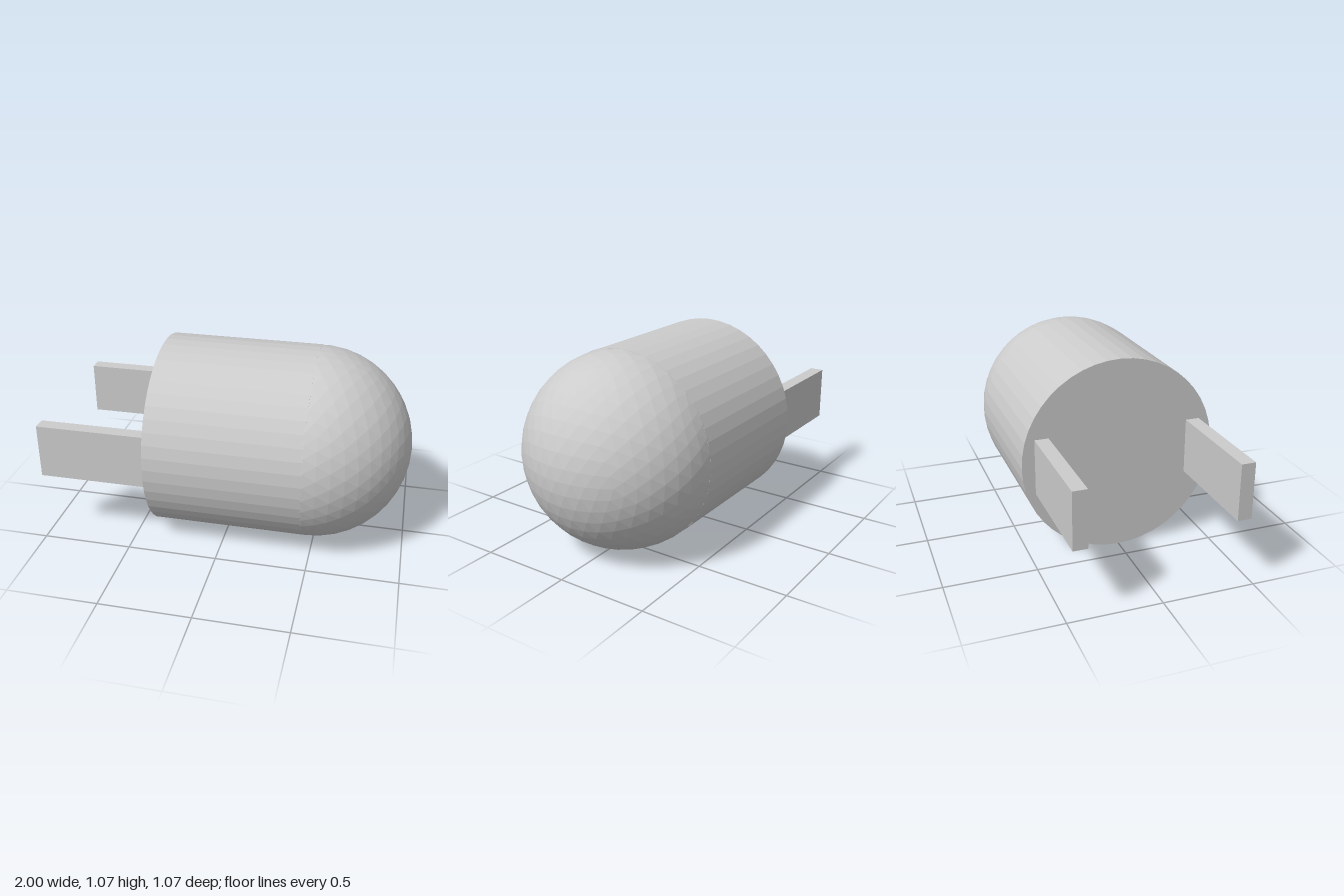
import * as THREE from 'three';

export function createModel() {
  const group = new THREE.Group();
  const material = new THREE.MeshStandardMaterial({ color: 0xcccccc, flatShading: true });
  const radius = 0.537, midY = 0.54;
  const backX = -0.385, domeX = 1 - radius;

  function add(name, geometry, x, y, z) {
    const mesh = new THREE.Mesh(geometry, material);
    mesh.name = name;
    mesh.position.set(x, y, z);
    group.add(mesh);
    return mesh;
  }

  // Cylindrical body lying along x
  const body = add('body',
    new THREE.CylinderGeometry(radius, radius, domeX - backX, 48), (backX + domeX) / 2, midY, 0);
  body.rotation.z = -Math.PI / 2;

  // Faceted round end
  add('dome', new THREE.IcosahedronGeometry(radius, 7), domeX, midY, 0);

  // Two flat prongs on the flat end, sunk slightly into the body
  const prongEnd = backX + 0.01;
  for (const [name, z] of [['frontProng', 0.422], ['backProng', -0.428]]) {
    add(name, new THREE.BoxGeometry(prongEnd + 1, 0.305, 0.076), (prongEnd - 1) / 2, midY, z);
  }

  return group;
}
